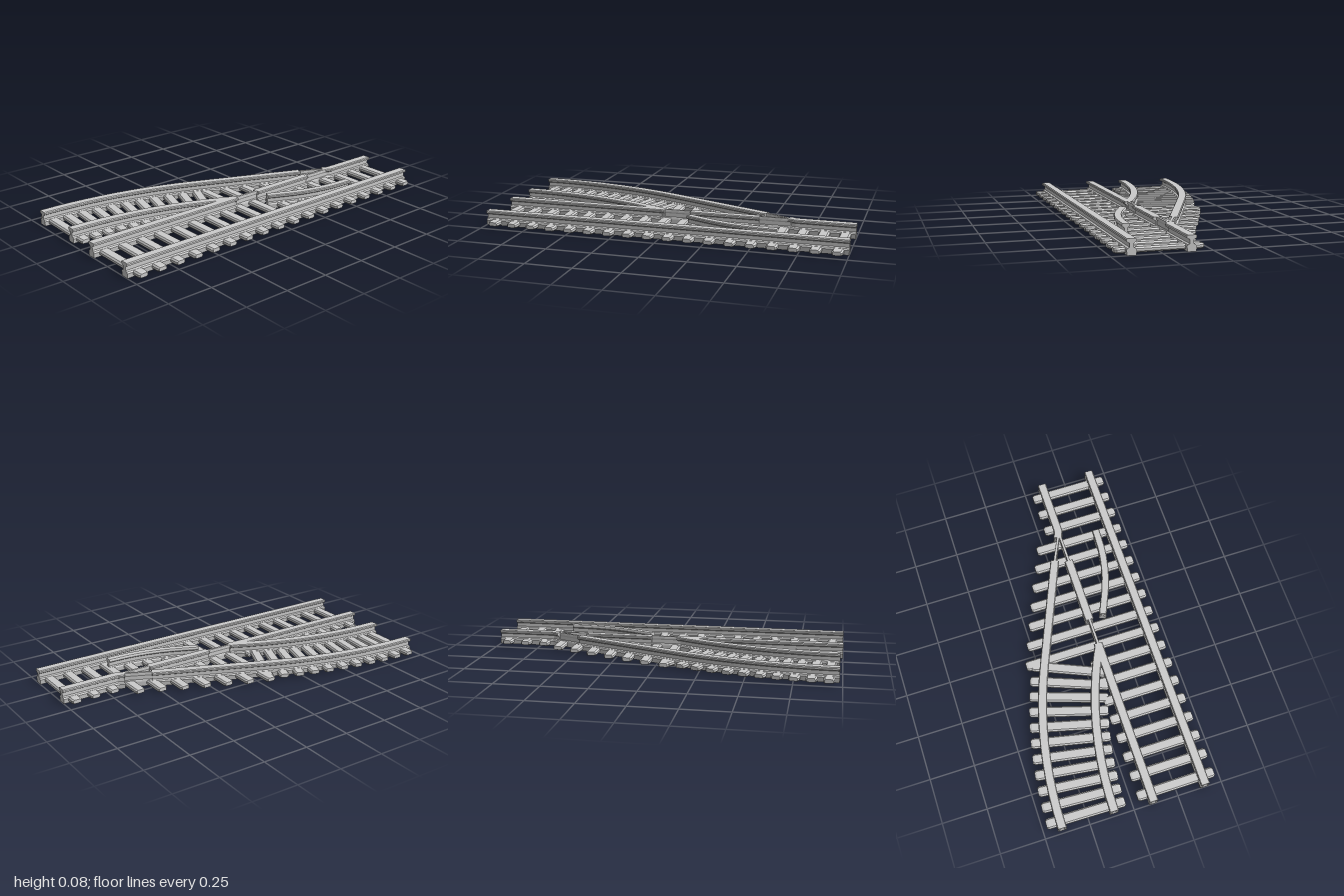
import * as THREE from 'three';

// Half profiles, [half width, height] from bottom to top
const RAIL = [[0.022, 0], [0.025, 0.026], [0.02, 0.034], [0.01, 0.038], [0.01, 0.058], [0.025, 0.066], [0.025, 0.075], [0.021, 0.08]];
const TIE = [[0.022, 0.006], [0.029, 0.013], [0.029, 0.025], [0.021, 0.033]];
const MID = 0.02;

const material = new THREE.MeshStandardMaterial({ color: 0xcccccc, flatShading: true });

// Sweeps a mirrored profile along a ground path of [x, z, widthScale, heightScale]
function sweep(half, path) {
  const profile = [...half, ...half.map(([u, y]) => [-u, y]).reverse()];
  const n = profile.length;
  const pos = [], index = [];
  path.forEach(([x, z, su = 1, sy = 1], i) => {
    const a = path[Math.max(i - 1, 0)], b = path[Math.min(i + 1, path.length - 1)];
    const dx = b[0] - a[0], dz = b[1] - a[1], len = Math.hypot(dx, dz);
    for (const [u, y] of profile) {
      pos.push(x + (dz / len) * u * su, MID + (y - MID) * sy, z - (dx / len) * u * su);
    }
  });
  for (let i = 0; i < path.length - 1; i++) {
    for (let j = 0; j < n; j++) {
      const k = (j + 1) % n;
      const a = i * n + j, b = i * n + k, c = b + n, d = a + n;
      index.push(a, b, d, b, c, d);
    }
  }
  const last = (path.length - 1) * n;
  const caps = THREE.ShapeUtils.triangulateShape(profile.map(([u, y]) => new THREE.Vector2(u, y)), []);
  for (const [a, b, c] of caps) index.push(a, c, b, last + a, last + b, last + c);
  const g = new THREE.BufferGeometry();
  g.setAttribute('position', new THREE.Float32BufferAttribute(pos, 3));
  g.setIndex(index);
  const flat = g.toNonIndexed();
  flat.computeVertexNormals();
  return flat;
}

// Diverging track: concentric arcs about one centre
const CX = 1.89, CZ = 0.985;
const onArc = (r, deg) => {
  const a = THREE.MathUtils.degToRad(deg);
  return [CX - r * Math.cos(a), CZ - r * Math.sin(a)];
};
const arc = (r, from, to, steps) =>
  Array.from({ length: steps + 1 }, (_, i) => onArc(r, from + ((to - from) * i) / steps));

export function createModel() {
  const model = new THREE.Group();
  const rails = new THREE.Group();
  const ties = new THREE.Group();
  rails.name = 'rails';
  ties.name = 'ties';
  model.add(rails, ties);

  const add = (group, name, half, path) => {
    const mesh = new THREE.Mesh(sweep(half, path), material);
    mesh.name = name;
    group.add(mesh);
  };
  const rail = (name, path) => add(rails, name, RAIL, path);
  const thin = (name, a, b) => rail(name, [[...a, 0.32], [...b, 0.32]]);

  // Tie with chamfered ends between two ground points
  const tie = (name, [x0, z0], [x1, z1]) => {
    const c = 0.012 / Math.hypot(x1 - x0, z1 - z0);
    const at = (t, s) => [x0 + (x1 - x0) * t, z0 + (z1 - z0) * t, s, s];
    add(ties, name, TIE, [at(0, 0.75), at(c, 1), at(1 - c, 1), at(1, 0.75)]);
  };

  // Straight track
  const X = 0.107;
  rail('outerStraightRail', [[0.4, -1], [0.4, 1]]);
  rail('innerStraightRailBack', [[X, -1], [X, -0.675], [0.09, -0.635]]);
  thin('straightPointBlade', [X, -0.65], [X, -0.47]);
  rail('innerStraightRailMiddle', [[X, -0.475], [X, -0.09]]);
  thin('crossingBlade', [X, -0.095], [X, 0.065]);
  rail('innerStraightRailFront', [[X, 0.06], [X, 1]]);

  // Diverging track
  rail('outerCurvedRail', [[0.03, -0.5], ...arc(2.29, 23, 0, 10)]);
  thin('curvedPointBlade', [0.1, -0.65], [0.028, -0.495]);
  rail('innerCurvedRail', arc(2.0, 27.3, 0, 10));

  // Short curved check rail
  const check = new THREE.CatmullRomCurve3(
    [[0.318, -0.615], [0.309, -0.46], [0.27, -0.29], [0.19, -0.1]].map(([x, z]) => new THREE.Vector3(x, 0, z)));
  rail('checkRail', check.getPoints(8).map((p) => [p.x, p.z, 0.85]));

  // Straight ties, growing longer toward the fork
  const leftEnds = [0.035, 0.035, 0.035, -0.045, -0.09, -0.14, -0.185, -0.23, -0.275, -0.315];
  for (let i = 0; i < 18; i++) {
    const z = -0.945 + i * 0.1108;
    tie('straightTie', [leftEnds[i] ?? 0.035, z], [0.475, z]);
  }

  // Fanned ties under the curve
  for (let i = 0; i < 11; i++) {
    const deg = 1.3 + i * 2.18;
    tie('curvedTie', onArc(2.365, deg), onArc(1.925, deg));
  }
  return model;
}
